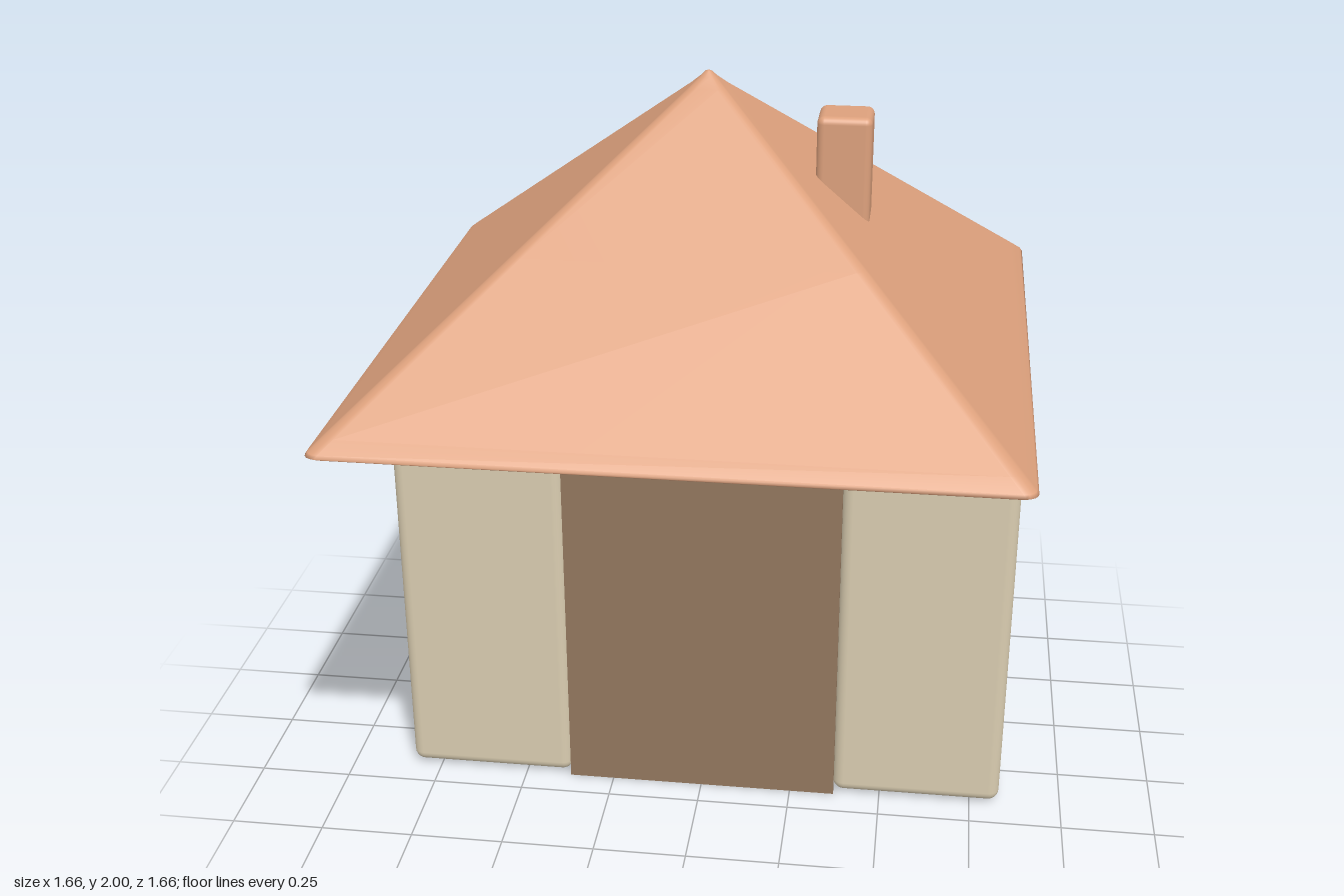
import * as THREE from 'three';
import { RoundedBoxGeometry } from 'three/addons/geometries/RoundedBoxGeometry.js';

const mat = (color) => new THREE.MeshStandardMaterial({ color });
const stone = mat(0xd9ccb0);
const clay = mat(0xdca07c);
const wood = mat(0x92775e);
const glow = mat(0xe8d9ae);

function add(group, name, geometry, material) {
  const mesh = new THREE.Mesh(geometry, material);
  mesh.name = name;
  group.add(mesh);
  return mesh;
}

// Softly rounded block spanning the given min and max corners
function block(group, name, material, [x0, y0, z0], [x1, y1, z1], radius) {
  const geometry = new RoundedBoxGeometry(x1 - x0, y1 - y0, z1 - z0, 4, radius);
  geometry.translate((x0 + x1) / 2, (y0 + y1) / 2, (z0 + z1) / 2);
  return add(group, name, geometry, material);
}

// Pyramid lofted through rounded squares, given as [height, half width, corner radius]
function roofGeometry() {
  const rings = [
    [1.28, 0, 0], [1.28, 0.8, 0.03], [1.28, 0.823, 0.03], [1.285, 0.83, 0.03], [1.293, 0.825, 0.03],
    [1.32, 0.794, 0.03], [1.64, 0.421, 0.025], [1.96, 0.047, 0.02],
    [1.985, 0.02, 0.015], [1.997, 0.008, 0.007], [2, 0, 0],
  ];
  const arc = 4, count = 4 * (arc + 1);
  const positions = [], indices = [];
  for (const [y, half, r] of rings) {
    for (let c = 0; c < 4; c++) {
      for (let k = 0; k <= arc; k++) {
        const a = (c + k / arc) * Math.PI / 2;
        const mid = (c + 0.5) * Math.PI / 2;
        positions.push(
          Math.sign(Math.cos(mid)) * (half - r) + Math.cos(a) * r, y,
          Math.sign(Math.sin(mid)) * (half - r) + Math.sin(a) * r);
      }
    }
  }
  for (let i = 0; i < rings.length - 1; i++) {
    for (let j = 0; j < count; j++) {
      const a = i * count + j, b = i * count + (j + 1) % count;
      indices.push(a, a + count, b, b, a + count, b + count);
    }
  }
  const geometry = new THREE.BufferGeometry();
  geometry.setAttribute('position', new THREE.Float32BufferAttribute(positions, 3));
  geometry.setIndex(indices);
  geometry.computeVertexNormals();
  return geometry;
}

export function createModel() {
  const model = new THREE.Group();
  model.name = 'gatehouse';

  // Side pillars, lintel and low threshold at the back
  block(model, 'leftPillar', stone, [0.37, 0.008, -0.168], [0.83, 1.068, 0.172], 0.03);
  block(model, 'rightPillar', stone, [-0.83, 0.008, -0.168], [-0.37, 1.068, 0.172], 0.03);
  block(model, 'lintel', stone, [-0.775, 1.06, -0.168], [0.775, 1.31, 0.172], 0.02);
  block(model, 'threshold', stone, [-0.38, 0, -0.168], [0.38, 0.04, -0.01], 0.012);

  // Thin door panel closing the front
  const door = add(model, 'door', new THREE.BoxGeometry(0.745, 1.06, 0.012), wood);
  door.position.set(0, 0.53, 0.166);

  // Round lamp below the lintel
  const lamp = add(model, 'lamp', new THREE.SphereGeometry(0.054, 32, 20), glow);
  lamp.position.set(0, 0.975, -0.02);

  // Pyramid roof and chimney
  add(model, 'roof', roofGeometry(), clay);
  block(model, 'chimney', clay, [0.275, 1.6, -0.048], [0.41, 1.912, 0.086], 0.018);

  return model;
}
